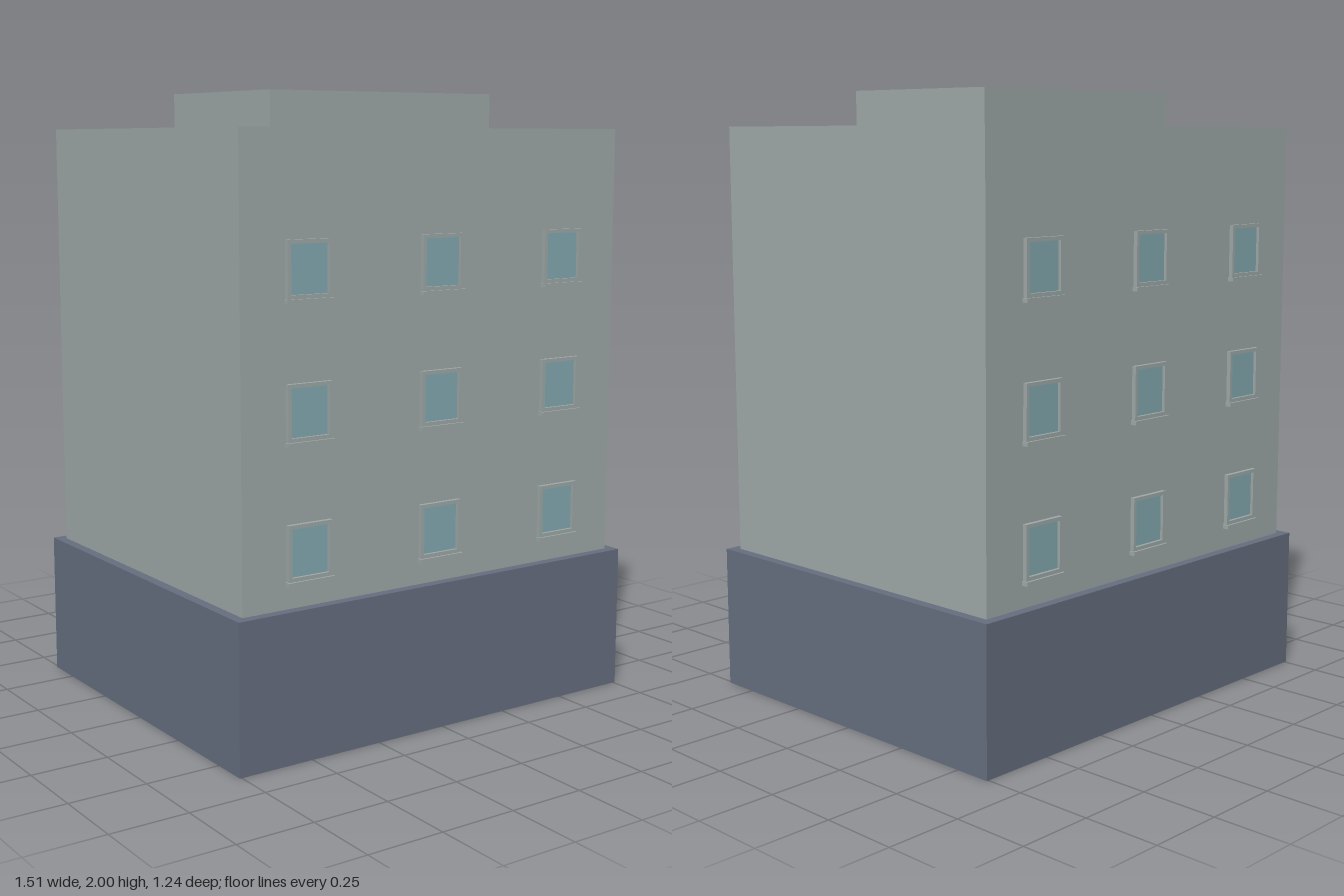
import * as THREE from 'three';

export function createModel() {
  const model = new THREE.Group();
  model.name = 'building';

  const wall = new THREE.MeshStandardMaterial({ color: 0xa0aaaa });
  wall.name = 'pale grey wall';
  const plinth = new THREE.MeshStandardMaterial({ color: 0x666f80 });
  plinth.name = 'slate base';
  const pane = new THREE.MeshStandardMaterial({ color: 0x84abb2 });
  pane.name = 'teal glass';

  // box with its bottom face at y
  function box(parent, name, material, w, h, d, x, y, z) {
    const mesh = new THREE.Mesh(new THREE.BoxGeometry(w, h, d), material);
    mesh.name = name;
    mesh.position.set(x, y + h / 2, z);
    parent.add(mesh);
  }

  // stacked volumes
  box(model, 'base', plinth, 1.514, 0.472, 1.244, 0, 0, 0);
  box(model, 'tower', wall, 1.448, 1.413, 1.178, 0, 0.472, 0);
  box(model, 'roofBlock', wall, 0.864, 0.115, 0.59, 0, 1.885, 0);

  // window frame outline with an opening for the recessed glass
  const W = 0.157, H = 0.172, B = 0.012;
  const outline = new THREE.Shape([
    [-W / 2, 0], [W / 2, 0], [W / 2, H], [-W / 2, H],
  ].map(([x, y]) => new THREE.Vector2(x, y)));
  outline.holes.push(new THREE.Path([
    [-W / 2 + B, B], [-W / 2 + B, H - B], [W / 2 - B, H - B], [W / 2 - B, B],
  ].map(([x, y]) => new THREE.Vector2(x, y))));
  const frameGeometry = new THREE.ExtrudeGeometry(outline, { depth: 0.014, bevelEnabled: false });

  function createWindow(x, y) {
    const group = new THREE.Group();
    group.name = 'window';
    const frame = new THREE.Mesh(frameGeometry, wall);
    frame.name = 'windowFrame';
    group.add(frame);
    box(group, 'glass', pane, W - 2 * B, H - 2 * B, 0.004, 0, B, 0.002);
    box(group, 'sill', wall, 0.165, 0.013, 0.021, 0, -0.013, 0.0105);
    group.position.set(x, y, 0.589);
    return group;
  }

  // three rows of three windows on the front and the back
  for (const [name, turn] of [['frontWindows', 0], ['backWindows', Math.PI]]) {
    const facade = new THREE.Group();
    facade.name = name;
    for (let row = 0; row < 3; row++) {
      for (const x of [-0.492, 0, 0.492]) facade.add(createWindow(x, 0.556 + row * 0.419));
    }
    facade.rotation.y = turn;
    model.add(facade);
  }

  return model;
}
